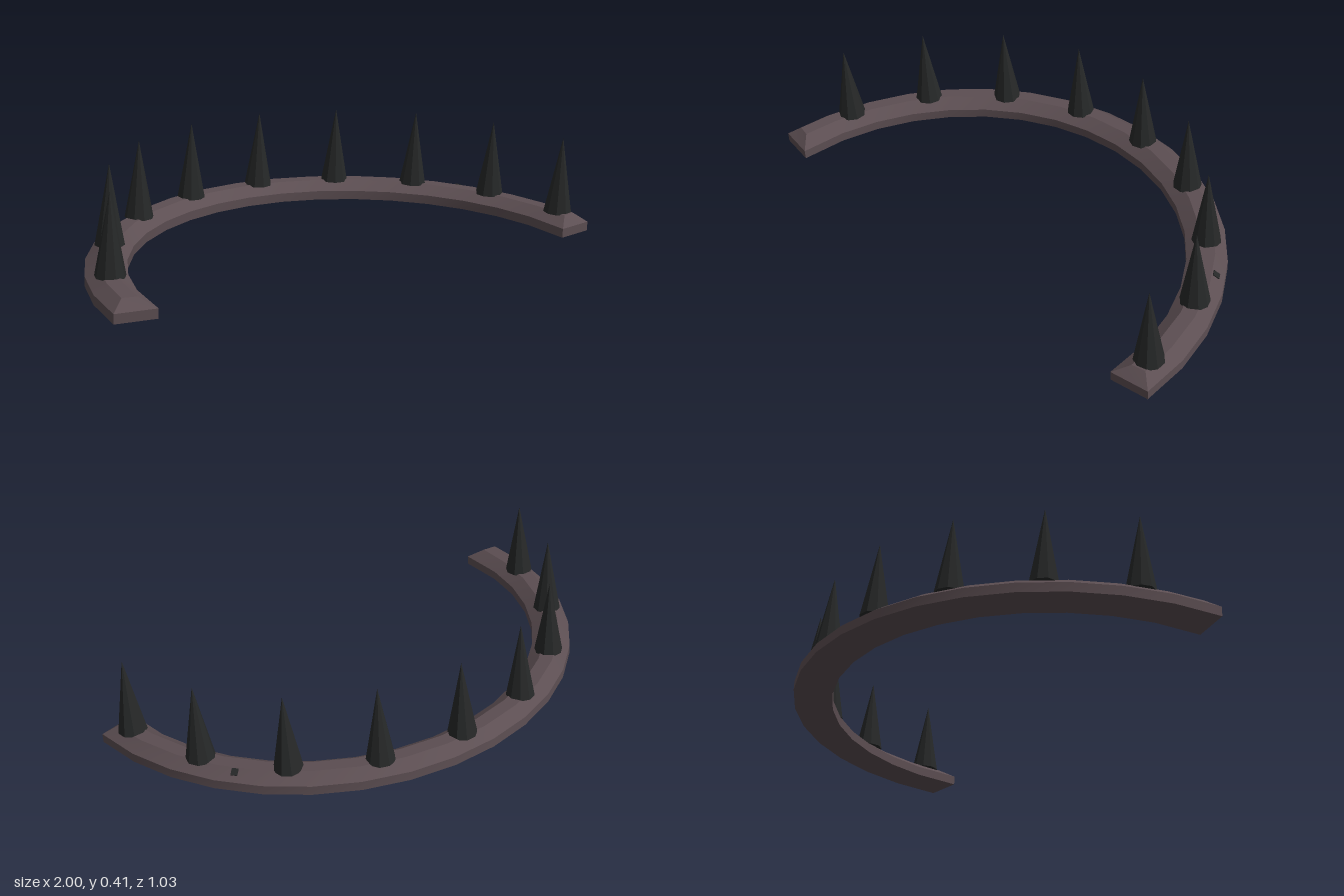
import * as THREE from 'three';
import { toCreasedNormals } from 'three/addons/utils/BufferGeometryUtils.js';

const CENTER_Z = 0.485;
const TILT = 0.0534;
const TOP = 0.068;
const rad = THREE.MathUtils.degToRad;

// point on the arc, angle in degrees measured from the back
const onArc = (r, deg, y) => new THREE.Vector3(r * Math.sin(rad(deg)), y, CENTER_Z - r * Math.cos(rad(deg)));

// half-ring band with bevelled upper edges and bevelled ends
function bandGeometry() {
  const section = [[0.854, 0], [0.854, 0.035], [0.903, TOP], [0.955, TOP], [1, 0.035], [1, 0]];
  const endShift = [2, 2, -1.2, -1.8, 0.4, 0.4];
  const segments = 18;
  const rings = [];
  for (let i = 0; i <= segments; i++) {
    const side = i === 0 ? -1 : i === segments ? 1 : 0;
    rings.push(section.map(([r, y], j) => onArc(r, -90 + i * 10 + side * endShift[j], y)));
  }
  const points = [];
  const quad = (a, b, c, d) => points.push(a, b, c, a, c, d);
  for (let i = 0; i < segments; i++) {
    for (let j = 0; j < 6; j++) {
      const k = (j + 1) % 6;
      quad(rings[i][j], rings[i + 1][j], rings[i + 1][k], rings[i][k]);
    }
  }
  // end faces and their sloping bevels
  const s = rings[0], e = rings[segments];
  quad(s[0], s[1], s[4], s[5]);
  quad(s[1], s[2], s[3], s[4]);
  quad(e[5], e[4], e[1], e[0]);
  quad(e[4], e[3], e[2], e[1]);
  return toCreasedNormals(new THREE.BufferGeometry().setFromPoints(points), 0.5);
}

export function createModel() {
  const bandMaterial = new THREE.MeshStandardMaterial({ color: 0x5c4e52 });
  bandMaterial.name = 'dull mauve brown';
  const spikeMaterial = new THREE.MeshStandardMaterial({ color: 0x262828 });
  spikeMaterial.name = 'charcoal';

  const model = new THREE.Group();
  model.name = 'spikedBand';
  const tilted = new THREE.Group();
  tilted.name = 'tiltedBand';
  tilted.rotation.x = TILT;
  tilted.position.y = 0.0275;
  model.add(tilted);

  const band = new THREE.Mesh(bandGeometry(), bandMaterial);
  band.name = 'band';
  tilted.add(band);

  // nine evenly spaced spikes, slightly sunk into the band
  const height = 0.293;
  const cone = toCreasedNormals(new THREE.ConeGeometry(0.054, height, 9), 0.5);
  for (let i = 0; i < 9; i++) {
    const angle = -75 + i * 20;
    const spike = new THREE.Mesh(cone, spikeMaterial);
    spike.name = 'spike' + (i + 1);
    spike.position.copy(onArc(0.925, angle, TOP - 0.005 + height / 2));
    spike.rotation.y = -rad(angle);
    tilted.add(spike);
  }

  // small dark nick on the outer bevel
  const nick = new THREE.Mesh(new THREE.BoxGeometry(0.024, 0.004, 0.026), spikeMaterial);
  nick.name = 'nick';
  nick.position.copy(onArc(0.968, 56, 0.06));
  nick.rotation.order = 'YXZ';
  nick.rotation.y = -rad(56);
  nick.rotation.x = -0.63;
  tilted.add(nick);

  return model;
}
